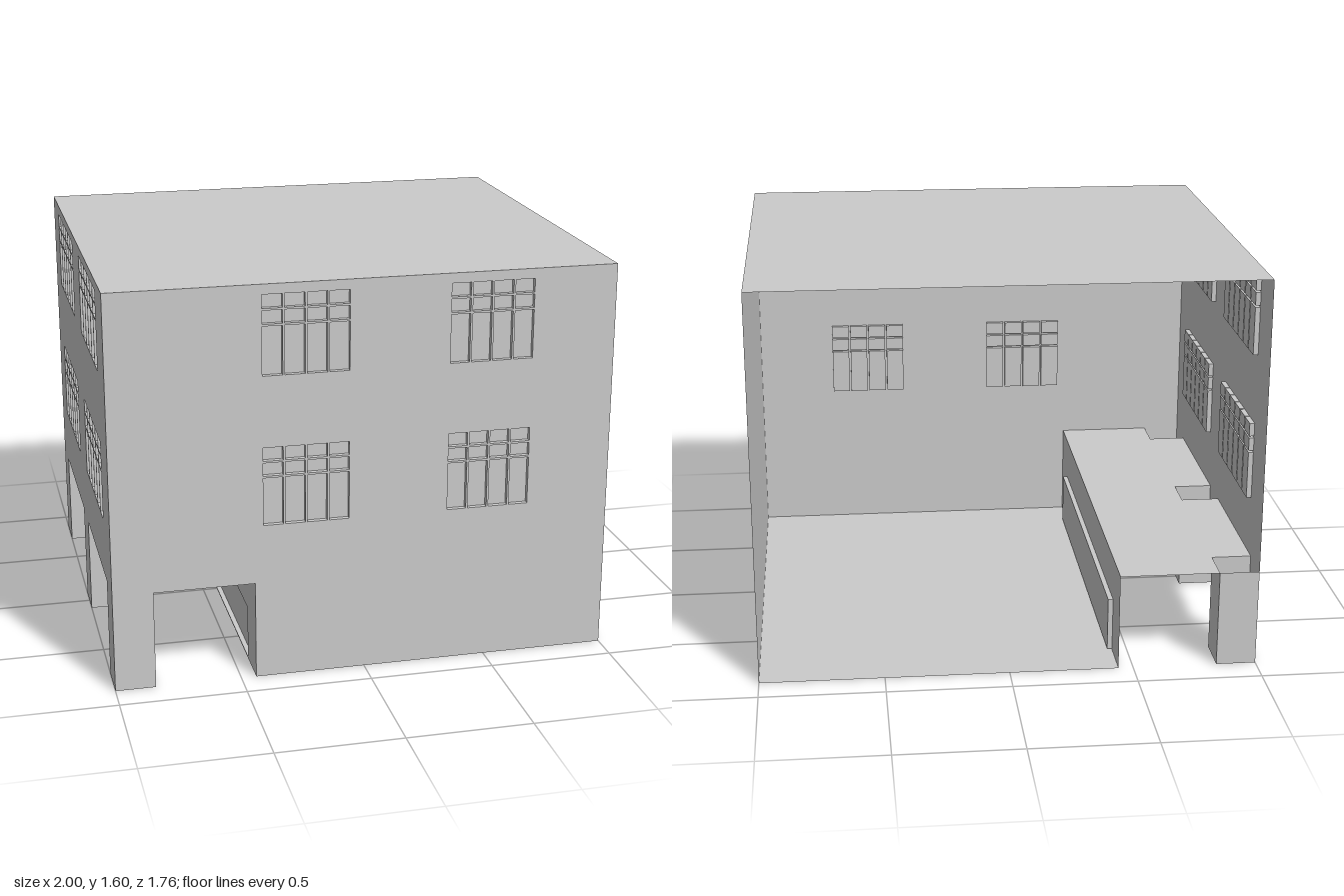
import * as THREE from 'three';

const H = 1.6, D = 0.88, ARCH = 0.4, INNER = -0.44, POST = 0.16;
const mat = new THREE.MeshStandardMaterial({ color: 0xcccccc, side: THREE.DoubleSide });

function mesh(geo, name) {
  const m = new THREE.Mesh(geo, mat);
  m.name = name;
  return m;
}

function polygon(points, Type = THREE.Shape) {
  return new Type(points.map(([x, y]) => new THREE.Vector2(x, y)));
}

const rect = (x0, y0, x1, y1) => [[x0, y0], [x1, y0], [x1, y1], [x0, y1]];

// Box with one of its six faces left open (order +x -x +y -y +z -z)
function openBox(w, h, d, face) {
  const geo = new THREE.BoxGeometry(w, h, d);
  const index = Array.from(geo.index.array);
  index.splice(face * 6, 6);
  geo.setIndex(index);
  geo.clearGroups();
  return geo;
}

// Thin wall facing local +z, with shallow recessed panels [x0, y0, x1, y1]
function wall(name, outline, panels, panelName, depth = 0.02) {
  const group = new THREE.Group();
  group.name = name;
  const shape = polygon(outline);
  for (const [x0, y0, x1, y1] of panels) {
    shape.holes.push(polygon(rect(x0, y0, x1, y1), THREE.Path));
    const panel = mesh(openBox(x1 - x0, y1 - y0, depth, 4), panelName);
    panel.position.set((x0 + x1) / 2, (y0 + y1) / 2, -depth / 2);
    group.add(panel);
  }
  group.add(mesh(new THREE.ShapeGeometry(shape), name + 'Surface'));
  return group;
}

// Panes of one window: equal columns, one tall row and two short rows
function windowPanes(x0, x1, y0, columns) {
  const gap = 0.008, panes = [];
  const w = (x1 - x0 + gap) / columns;
  for (const [bottom, top] of [[0, 0.194], [0.202, 0.255], [0.263, 0.317]]) {
    for (let i = 0; i < columns; i++) {
      panes.push([x0 + i * w, y0 + bottom, x0 + (i + 1) * w - gap, y0 + top]);
    }
  }
  return panes;
}

// Two storeys of windows at the given horizontal spans
function windows(spans, columns) {
  return [0.64, 1.243].flatMap(y => spans.flatMap(([a, b]) => windowPanes(a, b, y, columns)));
}

// Flat horizontal sheet given in x and z
function sheet(name, outline, y, holes = []) {
  const shape = polygon(outline.map(([x, z]) => [x, -z]));
  for (const hole of holes) {
    shape.holes.push(polygon(hole.map(([x, z]) => [x, -z]), THREE.Path));
  }
  const m = mesh(new THREE.ShapeGeometry(shape).rotateX(-Math.PI / 2), name);
  m.position.y = y;
  return m;
}

export function createModel() {
  const group = new THREE.Group();
  group.name = 'building';

  // Front wall, cut away where the arcade passes through
  const front = wall('frontWall',
    [[-1, ARCH], [INNER, ARCH], [INNER, 0], [1, 0], [1, H], [-1, H]],
    windows([[-0.405, -0.065], [0.333, 0.665]], 4), 'windowPane');
  front.position.z = D;
  group.add(front);

  // Wall above the arcade
  const arcadeSide = wall('arcadeSideWall', rect(-D, ARCH, D, H),
    windows([[-0.68, -0.13], [0.12, 0.67]], 6), 'windowPane');
  arcadeSide.rotation.y = -Math.PI / 2;
  arcadeSide.position.x = -1;
  group.add(arcadeSide);

  // Wall at the back of the arcade, with a low recessed panel
  const inner = wall('arcadeInnerWall', rect(-D, 0, D, ARCH),
    [[-0.71, 0.005, 0.71, 0.225]], 'shopFront');
  inner.rotation.y = -Math.PI / 2;
  inner.position.x = INNER;
  group.add(inner);

  // Plain side wall
  const side = wall('plainSideWall', rect(-D, 0, D, H), [], '');
  side.rotation.y = Math.PI / 2;
  side.position.x = 1;
  group.add(side);

  // Roof and floor; the back stays open
  group.add(sheet('roof', rect(-1, -D, 1, D), H));
  group.add(sheet('floor', rect(INNER, -D, 1, D), 0));

  // Arcade ceiling, notched above the hollow posts
  const x = -1 + POST, h = POST / 2;
  group.add(sheet('arcadeCeiling', [
    [INNER, -D], [x, -D], [x, -D + POST], [-1, -D + POST],
    [-1, -h], [x, -h], [x, h], [-1, h],
    [-1, D - POST], [x, D - POST], [x, D], [INNER, D],
  ], ARCH));

  // Hollow posts
  for (const z of [-D + h, 0, D - h]) {
    const post = mesh(openBox(POST, ARCH, POST, 2), 'arcadePost');
    post.position.set(-1 + h, ARCH / 2, z);
    group.add(post);
  }
  return group;
}
